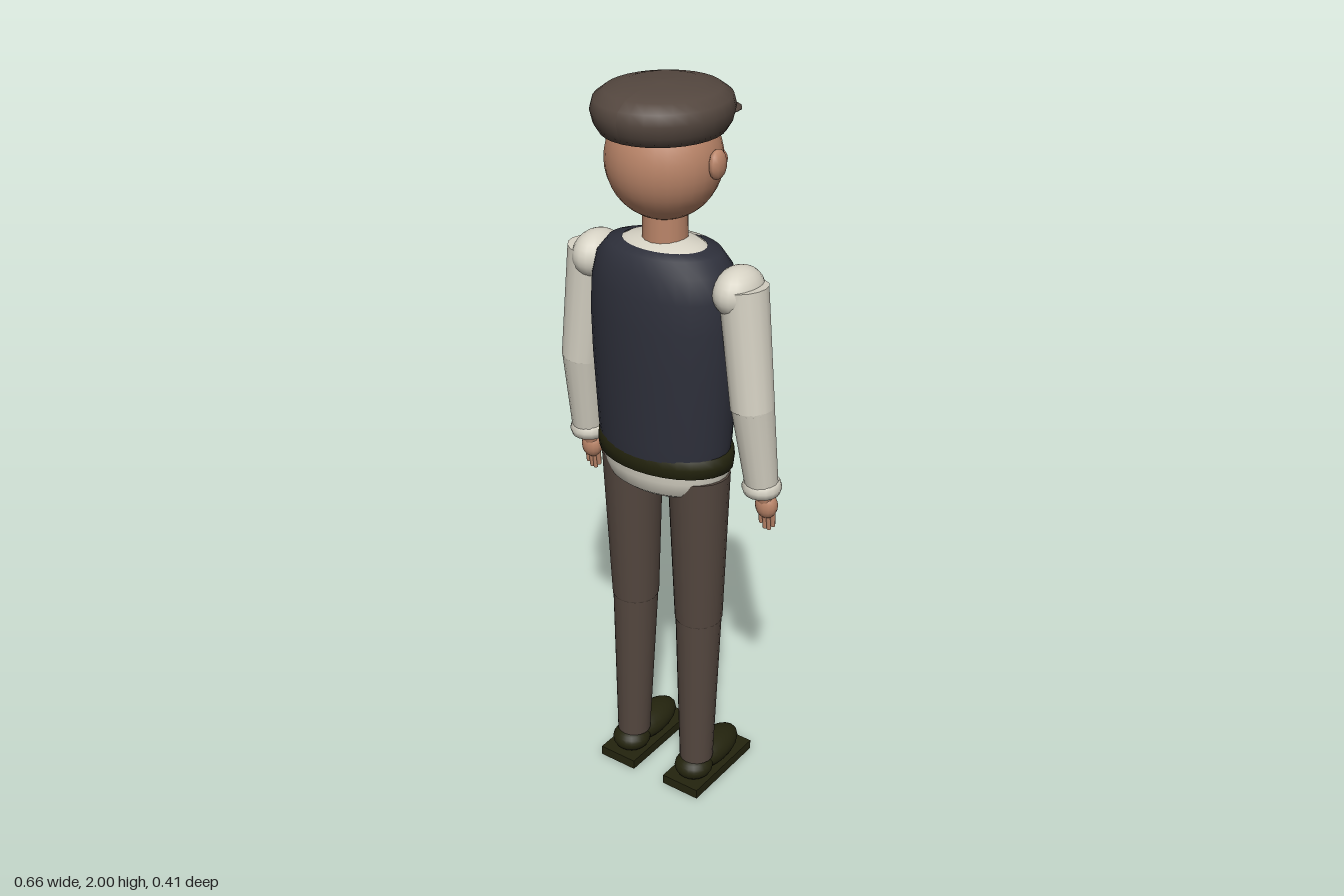
import * as THREE from 'three';

const mat = (name, color, side = THREE.FrontSide) => {
  const m = new THREE.MeshStandardMaterial({ color, side });
  m.name = name;
  return m;
};

export function createModel() {
  const root = new THREE.Group();
  root.name = 'man';
  const skin = mat('skin', 0xb98468);
  const rosy = mat('rosy skin', 0xb0745a);
  const brown = mat('brown cloth', 0x54473f, THREE.DoubleSide);
  const navy = mat('navy cloth', 0x2e303b, THREE.DoubleSide);
  const cream = mat('cream shirt', 0xd6d2c4, THREE.DoubleSide);
  const leather = mat('dark leather', 0x24240e);
  const hair = mat('dark hair', 0x1e1c12);
  const white = mat('eye white', 0xe8e6de);
  const copper = mat('copper', 0xa56c4c);
  const buttonGrey = mat('button grey', 0xb4b0a6);

  const add = (name, geo, m, pos = [0, 0, 0], parent = root) => {
    const mesh = new THREE.Mesh(geo, m);
    mesh.name = name;
    mesh.position.set(...pos);
    parent.add(mesh);
    return mesh;
  };
  const ball = (name, m, pos, scale, parent = root, seg = 20) => {
    const mesh = add(name, new THREE.SphereGeometry(1, seg, Math.round(seg * 0.7)), m, pos, parent);
    mesh.scale.set(...scale);
    return mesh;
  };
  // Tapered tube running between two points
  const limb = (name, m, a, b, ra, rb, parent = root, seg = 16) => {
    const A = new THREE.Vector3(...a), B = new THREE.Vector3(...b);
    const dir = A.clone().sub(B);
    const mesh = add(name, new THREE.CylinderGeometry(ra, rb, dir.length(), seg), m,
      A.clone().add(B).multiplyScalar(0.5).toArray(), parent);
    mesh.quaternion.setFromUnitVectors(new THREE.Vector3(0, 1, 0), dir.normalize());
    return mesh;
  };
  // Oval body shell; the face side is at angle PI
  const shell = (name, m, profile, start = 0, sweep = Math.PI * 2, zc = 0.018, depth = 0.68) => {
    const pts = profile.map(([r, y]) => new THREE.Vector2(r, y));
    const seg = Math.max(6, Math.round(sweep * 5));
    const mesh = add(name, new THREE.LatheGeometry(pts, seg, start, sweep), m, [0, 0, zc]);
    mesh.scale.z = depth;
    return mesh;
  };

  // Torso: waistcoat open over a shirt front
  const vest = [[0.185, 1.05], [0.191, 1.1], [0.203, 1.3], [0.206, 1.42], [0.201, 1.5], [0.186, 1.56], [0.155, 1.598], [0.115, 1.606]];
  const half = 0.33;
  shell('waistcoat', navy, vest, Math.PI + half, Math.PI * 2 - half * 2);
  shell('shirtFront', cream, vest, Math.PI - half, half * 2);
  shell('shirtCollar', cream, [[0.122, 1.6], [0.1, 1.613], [0.05, 1.622]]);
  shell('shirtTail', cream, [[0.184, 1.05], [0.182, 1.0], [0.165, 0.96], [0.14, 0.946], [0, 0.94]], 0, Math.PI * 2, 0.012);
  shell('belt', leather, [[0.18, 1.02], [0.194, 1.022], [0.197, 1.048], [0.194, 1.072], [0.18, 1.076]], 0, Math.PI * 2, 0.014, 0.67);
  add('buckle', new THREE.BoxGeometry(0.06, 0.045, 0.014), copper, [0, 1.048, -0.118]);
  for (const y of [1.195, 1.27, 1.345, 1.42, 1.495]) {
    ball('button', buttonGrey, [0, y, -0.122], [0.009, 0.009, 0.008], root, 8);
  }
  for (const s of [1, -1]) {
    add('pocketFlap', new THREE.BoxGeometry(0.08, 0.03, 0.022), navy, [s * 0.112, 1.273, -0.122]);
  }

  // Neck, head and face
  add('neck', new THREE.CylinderGeometry(0.055, 0.058, 0.11, 16), skin, [0, 1.655, 0.015]);
  ball('head', skin, [0, 1.815, 0.02], [0.145, 0.148, 0.14], root, 28);
  ball('nose', rosy, [0, 1.808, -0.138], [0.026, 0.027, 0.028], root, 12);
  for (const s of [1, -1]) {
    ball('ear', skin, [s * 0.15, 1.825, 0.015], [0.018, 0.037, 0.03], root, 10);
    ball('cheek', rosy, [s * 0.08, 1.8, -0.085], [0.027, 0.027, 0.025], root, 12);
    ball('eye', white, [s * 0.048, 1.843, -0.106], [0.025, 0.025, 0.016], root, 14);
    ball('pupil', hair, [s * 0.047, 1.841, -0.12], [0.012, 0.013, 0.007], root, 10);
    const brow = ball('eyebrow', hair, [s * 0.05, 1.876, -0.107], [0.03, 0.008, 0.012], root, 10);
    brow.rotation.z = -s * 0.15;
    const tache = ball('moustache', hair, [s * 0.03, 1.773, -0.122], [0.036, 0.014, 0.018], root, 12);
    tache.rotation.set(0, -s * 0.25, -s * 0.18);
  }

  // Flat cap
  const cap = shell('cap', brown, [[0, 1.885], [0.146, 1.887], [0.16, 1.91], [0.167, 1.94], [0.16, 1.966],
    [0.135, 1.985], [0.09, 1.996], [0, 2]], 0, Math.PI * 2, 0.022, 1.09);
  cap.geometry.computeVertexNormals();
  ball('capBrim', brown, [0, 1.912, -0.118], [0.115, 0.013, 0.09], root, 18).rotation.x = -0.06;

  // Limbs, one set on each side
  for (const s of [1, -1]) {
    const arm = new THREE.Group();
    arm.name = s > 0 ? 'leftArm' : 'rightArm';
    root.add(arm);
    ball('shoulder', cream, [s * 0.213, 1.523, 0.01], [0.058, 0.063, 0.078], arm);
    limb('upperSleeve', cream, [s * 0.229, 1.54, 0.014], [s * 0.265, 1.23, 0.017], 0.062, 0.056, arm);
    ball('elbow', cream, [s * 0.265, 1.232, 0.017], [0.054, 0.03, 0.054], arm);
    limb('lowerSleeve', cream, [s * 0.265, 1.24, 0.017], [s * 0.279, 1, -0.015], 0.055, 0.043, arm);
    const cuff = add('cuff', new THREE.TorusGeometry(0.032, 0.02, 8, 16), cream, [s * 0.278, 0.997, -0.017], arm);
    cuff.rotation.x = Math.PI / 2;
    cuff.scale.z = 1.25;
    limb('wrist', skin, [s * 0.279, 1, -0.02], [s * 0.282, 0.95, -0.032], 0.022, 0.022, arm, 10);
    ball('palm', skin, [s * 0.283, 0.935, -0.034], [0.031, 0.037, 0.026], arm, 14);
    for (let i = 0; i < 4; i++) {
      const x = s * (0.265 + i * 0.012), len = i === 1 || i === 2 ? 0.862 : 0.875;
      limb('finger', skin, [x, 0.925, -0.036], [x, len, -0.04], 0.008, 0.006, arm, 8);
    }
    limb('thumb', skin, [s * 0.266, 0.945, -0.045], [s * 0.256, 0.905, -0.066], 0.009, 0.008, arm, 8);

    const leg = new THREE.Group();
    leg.name = s > 0 ? 'leftLeg' : 'rightLeg';
    root.add(leg);
    limb('upperTrouser', brown, [s * 0.107, 1, 0.016], [s * 0.106, 0.55, 0.01], 0.082, 0.065, leg, 18);
    ball('knee', brown, [s * 0.106, 0.55, 0.01], [0.064, 0.025, 0.064], leg);
    limb('lowerTrouser', brown, [s * 0.106, 0.555, 0.01], [s * 0.11, 0.08, 0.02], 0.063, 0.047, leg, 18);

    // Shoe: toe points towards the face side
    add('sole', new THREE.BoxGeometry(0.116, 0.028, 0.275), leather, [s * 0.11, 0.014, -0.037], leg);
    ball('shoeUpper', leather, [s * 0.11, 0.058, -0.058], [0.053, 0.043, 0.108], leg);
    ball('shoeHeel', leather, [s * 0.11, 0.052, 0.032], [0.054, 0.036, 0.055], leg);
  }
  return root;
}
